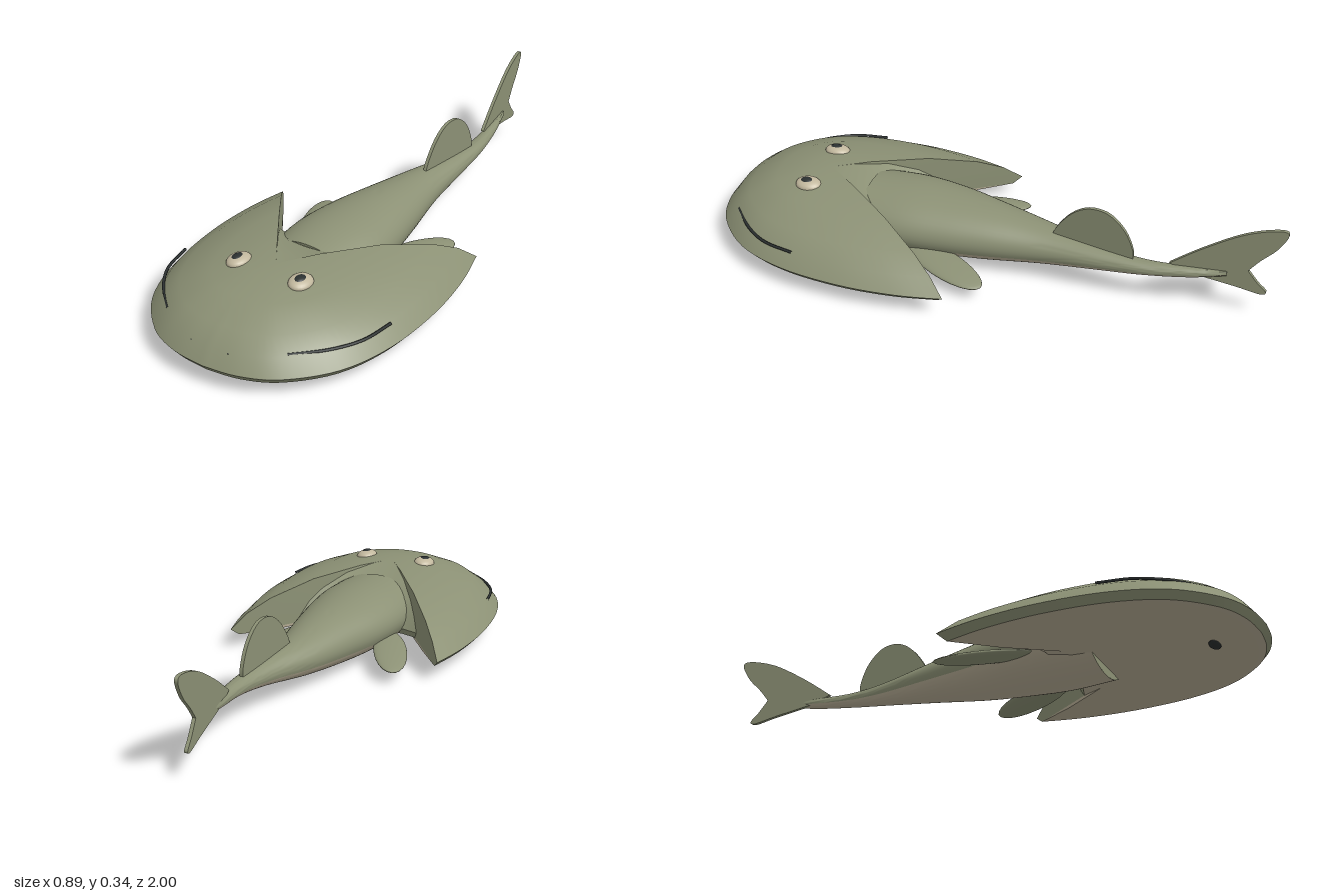
import * as THREE from 'three';
import { toCreasedNormals } from 'three/addons/utils/BufferGeometryUtils.js';

const material = (name, color, side = THREE.FrontSide) => {
  const m = new THREE.MeshStandardMaterial({ color, side });
  m.name = name;
  return m;
};

// Skin a list of rings (arrays of Vector3) with quads
function loft(rings, crease = 0.6) {
  const n = rings[0].length, index = [];
  for (let i = 0; i < rings.length - 1; i++) {
    for (let j = 0; j < n - 1; j++) {
      const a = i * n + j, b = a + 1, d = a + n, c = d + 1;
      index.push(a, d, c, a, c, b);
    }
  }
  const g = new THREE.BufferGeometry().setFromPoints(rings.flat());
  g.setIndex(index);
  return toCreasedNormals(g, crease);
}

// Thin upright fin drawn in (z, y), following the bend x(z)
function finGeometry(points, bend, sharpAt = -1) {
  const pts = points.map(([z, y]) => new THREE.Vector2(z, y));
  const shape = new THREE.Shape();
  shape.moveTo(pts[0].x, pts[0].y);
  if (sharpAt < 0) shape.splineThru(pts.slice(1));
  else {
    shape.splineThru(pts.slice(1, sharpAt + 1));
    shape.splineThru(pts.slice(sharpAt + 1));
  }
  const g = new THREE.ExtrudeGeometry(shape, { depth: 0.012, bevelEnabled: false, curveSegments: 24 });
  const p = g.attributes.position;
  for (let i = 0; i < p.count; i++) {
    const z = p.getX(i);
    p.setXYZ(i, bend(z) - (p.getZ(i) - 0.006), p.getY(i), z);
  }
  g.computeVertexNormals();
  return g;
}

export function createModel() {
  const model = new THREE.Group();
  const skin = material('olive skin', 0x8c9175);
  const finSkin = skin;
  const belly = material('pale belly', 0xb8ae96);
  const eyeRim = material('cream eye rim', 0xc2b89e);
  const dark = material('dark detail', 0x2b3030);
  const add = (name, geometry, mat) => {
    const mesh = new THREE.Mesh(geometry, mat);
    mesh.name = name;
    model.add(mesh);
    return mesh;
  };
  const blob = (name, mat, pos, scale) => {
    const mesh = add(name, new THREE.SphereGeometry(1, 24, 16), mat);
    mesh.position.set(...pos);
    mesh.scale.set(...scale);
    return mesh;
  };

  // Head shield: horseshoe outline with rear horns, scaled about its apex
  const apexZ = 0.62;
  const side = new THREE.SplineCurve([
    [0, 1], [0.12, 0.985], [0.24, 0.93], [0.36, 0.8], [0.425, 0.62],
    [0.445, 0.4], [0.43, 0.2], [0.395, 0.04],
  ].map(([x, z]) => new THREE.Vector2(x, z))).getPoints(35);
  const back = [[0.31, 0.164], [0.23, 0.28], [0.17, 0.3], [0.08, 0.31], [0, 0.315]]
    .map(([x, z]) => new THREE.Vector2(x, z));
  const half = [...side, ...back];
  const outline = [...half, ...half.slice(0, -1).reverse().map(p => new THREE.Vector2(-p.x, p.y))];
  const ring = ([s, y]) => outline.map(p => new THREE.Vector3(p.x * s, y, apexZ + (p.y - apexZ) * s));
  add('headShield', loft([[0, 0.226], [0.2, 0.225], [0.5, 0.207], [0.76, 0.165],
    [0.9, 0.125], [1, 0.075], [0.95, 0.05]].map(ring)), skin);
  add('shieldUnderside', loft([[0.95, 0.05], [0.7, 0.04], [0, 0.04]].map(ring)), belly);

  // Trunk and tail: z, centre x, half width, top y, bottom y
  const sections = [
    [0.46, 0, 0.165, 0.212, 0.008], [0.3, 0, 0.175, 0.218, 0.002], [0.15, 0.003, 0.158, 0.212, 0.008],
    [0, 0.012, 0.127, 0.2, 0.02], [-0.2, 0.025, 0.083, 0.177, 0.048], [-0.4, 0.055, 0.046, 0.161, 0.083],
    [-0.55, 0.065, 0.03, 0.155, 0.105], [-0.7, 0.052, 0.02, 0.158, 0.122], [-0.82, 0.038, 0.006, 0.162, 0.145],
  ];
  const upper = new THREE.CatmullRomCurve3(sections.map(([z, cx, , top]) => new THREE.Vector3(cx, top, z)), false, 'catmullrom');
  const lower = new THREE.CatmullRomCurve3(sections.map(([z, , hw, , bot]) => new THREE.Vector3(hw, bot, z)), false, 'catmullrom');
  const trunk = (from, to) => {
    const rings = [];
    for (let i = 0; i <= 40; i++) {
      const u = upper.getPoint(i / 40), l = lower.getPoint(i / 40), r = [];
      for (let j = 0; j <= 28; j++) {
        const a = THREE.MathUtils.degToRad(from + (to - from) * j / 28);
        r.push(new THREE.Vector3(u.x + l.x * Math.cos(a),
          (u.y + l.y) / 2 + (u.y - l.y) / 2 * Math.sin(a), u.z));
      }
      rings.push(r);
    }
    return loft(rings, 1);
  };
  add('trunkBack', trunk(-20, 200), skin);
  add('trunkBelly', trunk(200, 340), belly);
  const front = add('trunkFront', new THREE.CircleGeometry(1, 40), skin);
  front.scale.set(0.165, 0.102, 1);
  front.position.set(0, 0.11, 0.46);

  // Upright fins
  add('dorsalFin', finGeometry([[-0.21, 0.14], [-0.235, 0.2], [-0.28, 0.262], [-0.33, 0.3], [-0.38, 0.311],
    [-0.43, 0.298], [-0.48, 0.25], [-0.51, 0.18], [-0.505, 0.13]],
  z => 0.035 - (z + 0.2) * 0.09), finSkin);
  add('tailFin', finGeometry([[-0.63, 0.16], [-0.74, 0.24], [-0.86, 0.312], [-0.96, 0.344], [-0.998, 0.335],
    [-0.97, 0.275], [-0.92, 0.22], [-0.885, 0.175], [-0.92, 0.13], [-0.95, 0.098], [-0.93, 0.088],
    [-0.85, 0.105], [-0.7, 0.132]],
  z => 0.05 + (z + 0.62) * 0.105, 7), finSkin);

  // Mirrored parts
  for (const s of [1, -1]) {
    const name = s > 0 ? 'left' : 'right';
    const fin = blob(name + 'PectoralFin', finSkin, [s * 0.195, 0.06, 0.115], [0.06, 0.014, 0.172]);
    fin.rotation.set(-0.08, -s * 0.4, -s * 0.15);

    const rim = blob(name + 'EyeRim', eyeRim, [s * 0.118, 0.218, 0.655], [0.037, 0.02, 0.046]);
    rim.rotation.z = -s * 0.1;
    blob(name + 'Pupil', dark, [s * 0.118, 0.23, 0.658], [0.019, 0.0105, 0.025]);

    // Long groove along the shield flank
    const path = new THREE.CatmullRomCurve3([[0.397, 0.585], [0.373, 0.7], [0.318, 0.79], [0.225, 0.88]]
      .map(([x, z]) => new THREE.Vector3(s * x, 0.128, z)));
    add(name + 'FlankGroove', new THREE.TubeGeometry(path, 24, 0.005, 6), dark);
    blob(name + 'Nostril', dark, [s * 0.068, 0.119, 0.955], [0.006, 0.003, 0.006]);
  }

  // Mouth under the snout
  blob('mouth', dark, [0, 0.039, 0.83], [0.036, 0.007, 0.018]);
  return model;
}
